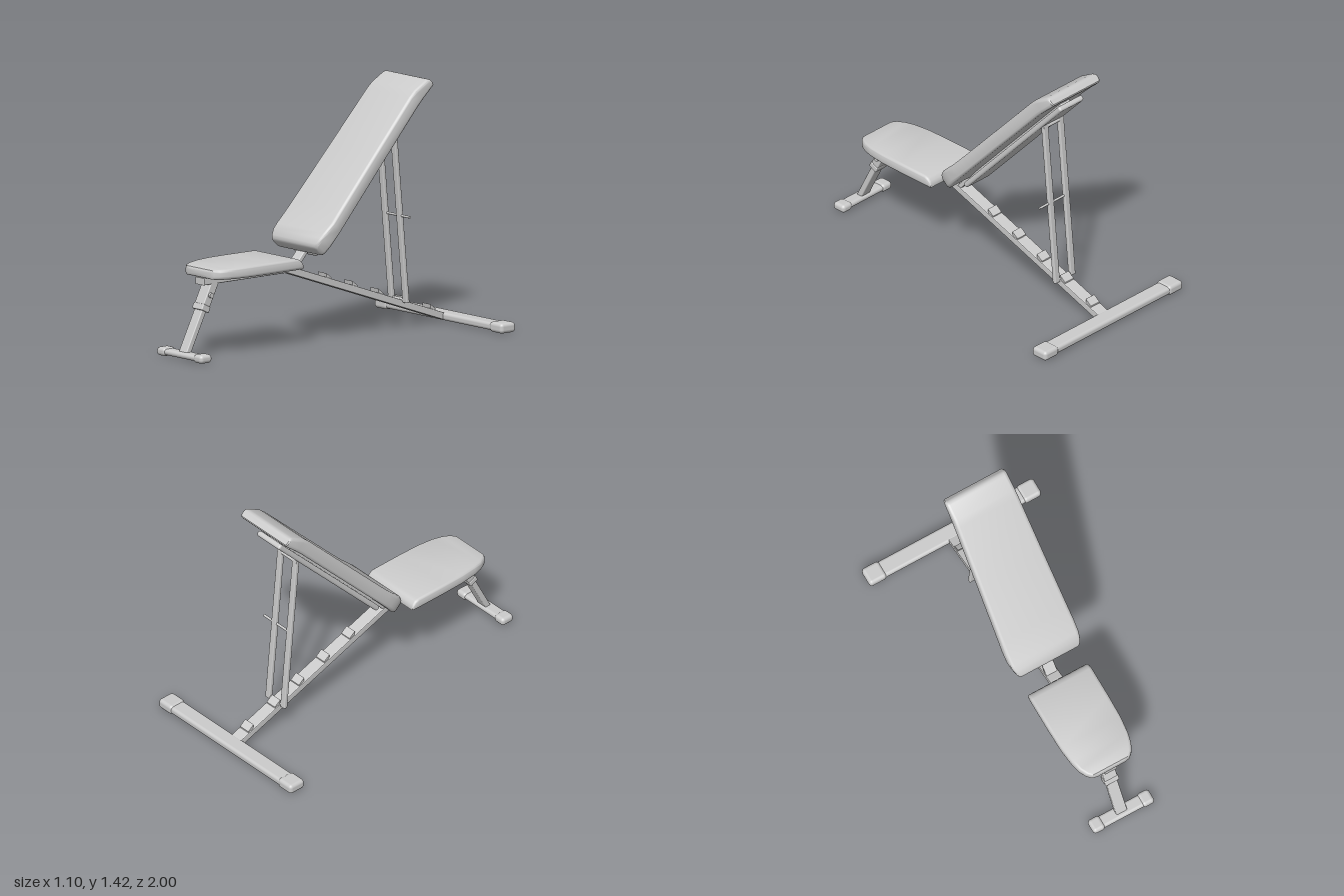
import * as THREE from 'three';
import { toCreasedNormals } from 'three/addons/utils/BufferGeometryUtils.js';
import { RoundedBoxGeometry } from 'three/addons/geometries/RoundedBoxGeometry.js';

const material = new THREE.MeshStandardMaterial({ color: 0xcccccc });

function add(parent, name, geometry, x = 0, y = 0, z = 0) {
  const mesh = new THREE.Mesh(geometry, material);
  mesh.name = name;
  mesh.position.set(x, y, z);
  parent.add(mesh);
  return mesh;
}

function box(parent, name, w, h, d, x, y, z, r = 0.008) {
  return add(parent, name, new RoundedBoxGeometry(w, h, d, 3, r), x, y, z);
}

// Bar of width w (x) and thickness t between two [y, z] points
function bar(parent, name, [y0, z0], [y1, z1], w, t, x = 0) {
  const length = Math.hypot(y1 - y0, z1 - z0);
  const mesh = box(parent, name, w, length, t, x, (y0 + y1) / 2, (z0 + z1) / 2, Math.min(0.006, t / 4));
  mesh.rotation.x = Math.atan2(z1 - z0, y1 - y0);
  return mesh;
}

// Extrude a side profile of [z, y] points across x
function sideProfile(parent, name, points, width, bevel) {
  const shape = new THREE.Shape(points.map(([z, y]) => new THREE.Vector2(z, y)));
  const g = new THREE.ExtrudeGeometry(shape, {
    depth: width - 2 * bevel, bevelEnabled: bevel > 0, bevelSize: bevel,
    bevelThickness: bevel, bevelOffset: -bevel, bevelSegments: 2,
  });
  g.translate(0, 0, -(width - 2 * bevel) / 2);
  g.rotateY(-Math.PI / 2);
  return add(parent, name, g);
}

// Loft of rounded rectangles along y; station = [y, halfWidth, zBack, zFront, cornerRadius]
function cushion(stations) {
  const positions = [], index = [], steps = 5, n = 4 * (steps + 1);
  for (const [y, w, back, front, radius] of stations) {
    const r = Math.min(radius, (front - back) / 2.05);
    [[1, 1], [-1, 1], [-1, -1], [1, -1]].forEach(([sx, sz], q) => {
      for (let i = 0; i <= steps; i++) {
        const a = (q + i / steps) * Math.PI / 2;
        positions.push(sx * (w - r) + r * Math.cos(a), y,
          (sz > 0 ? front - r : back + r) + r * Math.sin(a));
      }
    });
  }
  const last = stations.length - 1;
  for (let s = 0; s < last; s++) {
    for (let i = 0; i < n; i++) {
      const a = s * n + i, b = s * n + (i + 1) % n;
      index.push(a, a + n, b, b, a + n, b + n);
    }
  }
  for (const s of [0, last]) {
    const [y, , back, front] = stations[s], c = positions.length / 3;
    positions.push(0, y, (back + front) / 2);
    for (let i = 0; i < n; i++) {
      const a = s * n + i, b = s * n + (i + 1) % n;
      if (s === 0) index.push(c, a, b); else index.push(c, b, a);
    }
  }
  const g = new THREE.BufferGeometry();
  g.setAttribute('position', new THREE.Float32BufferAttribute(positions, 3));
  g.setIndex(index);
  return toCreasedNormals(g, 0.6);
}

// Floor crossbar with larger end caps
function foot(parent, name, half, capLength, z, depth, height, y) {
  const group = new THREE.Group();
  group.name = name;
  box(group, 'crossbar', 2 * half - capLength, height - 0.008, depth - 0.01, 0, y, z, 0.017);
  for (const s of [-1, 1]) {
    box(group, 'endCap', capLength, height + 0.006, depth, s * (half - capLength / 2), y, z, 0.02);
  }
  parent.add(group);
}

export function createModel() {
  const model = new THREE.Group();
  model.name = 'adjustableBench';

  // Bent main beam under the seat and down to the rear foot
  const beamY = z => 0.43 + (z - 0.23) * 0.348;
  sideProfile(model, 'mainBeam', [
    [0.845, 0.455], [0.23, 0.455], [-0.91, beamY(-0.91) + 0.022],
    [-0.91, beamY(-0.91) - 0.02], [0.24, 0.415], [0.845, 0.415],
  ], 0.08, 0.006);

  // Notches that catch the back strut
  for (const z of [-0.06, -0.25, -0.44, -0.62, -0.82]) {
    const y = beamY(z) + 0.015;
    sideProfile(model, 'notch', [
      [z + 0.01, y + 0.035], [z - 0.005, y + 0.025], [z - 0.03, y + 0.005],
      [z - 0.03, y - 0.015], [z + 0.004, y],
    ], 0.068, 0);
  }

  // Feet
  foot(model, 'rearFoot', 0.55, 0.11, -0.946, 0.108, 0.052, 0.034);
  foot(model, 'frontFoot', 0.195, 0.075, 0.957, 0.085, 0.042, 0.032);

  // Telescoping front leg
  bar(model, 'frontLeg', [0.035, 0.957], [0.42, 0.765], 0.068, 0.034);
  bar(model, 'legSleeve', [0.268, 0.841], [0.43, 0.76], 0.08, 0.052);
  bar(model, 'sleeveCollar', [0.268, 0.841], [0.3, 0.825], 0.088, 0.058);
  const knob = add(model, 'sleeveKnob', new THREE.CylinderGeometry(0.015, 0.015, 0.02, 20), 0.045, 0.355, 0.8);
  knob.rotation.z = Math.PI / 2;

  // Seat cushion, tapering and rounded towards the front
  const seat = add(model, 'seat', cushion([
    [-0.85, 0.095, 0.465, 0.498, 0.012],
    [-0.843, 0.122, 0.458, 0.508, 0.016],
    [-0.82, 0.146, 0.456, 0.513, 0.018],
    [-0.78, 0.166, 0.456, 0.515, 0.018],
    [-0.72, 0.181, 0.456, 0.518, 0.018],
    [-0.62, 0.192, 0.456, 0.52, 0.018],
    [-0.48, 0.195, 0.456, 0.52, 0.018],
    [-0.29, 0.195, 0.456, 0.519, 0.018],
    [-0.268, 0.194, 0.456, 0.511, 0.018],
    [-0.252, 0.192, 0.456, 0.496, 0.014],
    [-0.244, 0.188, 0.46, 0.48, 0.008],
  ]));
  seat.rotation.x = -Math.PI / 2;
  box(model, 'seatPlate', 0.24, 0.012, 0.46, 0, 0.455, 0.52, 0.004);

  // Reclined back: local y runs up the pad, local z points out of its front
  const back = new THREE.Group();
  back.name = 'backrest';
  back.position.set(0, 0.674, 0.075);
  back.rotation.x = -0.741;
  model.add(back);
  add(back, 'backCushion', cushion([
    [-0.139, 0.185, -0.075, -0.018, 0.02],
    [-0.133, 0.193, -0.086, -0.006, 0.02],
    [-0.118, 0.2, -0.088, 0.004, 0.02],
    [-0.08, 0.211, -0.086, 0.01, 0.02],
    [-0.04, 0.217, -0.084, 0.007, 0.02],
    [0.03, 0.219, -0.083, 0.001, 0.02],
    [0.12, 0.216, -0.083, 0, 0.02],
    [0.5, 0.206, -0.083, 0, 0.02],
    [0.9, 0.197, -0.084, 0, 0.02],
    [0.95, 0.196, -0.087, -0.004, 0.02],
    [1.04, 0.195, -0.095, -0.032, 0.02],
    [1.054, 0.193, -0.094, -0.04, 0.018],
    [1.06, 0.187, -0.088, -0.05, 0.012],
  ]));
  box(back, 'backSpine', 0.07, 1.2, 0.026, 0, 0.33, -0.091, 0.005);
  box(back, 'backPlate', 0.19, 1.1, 0.032, 0, 0.423, -0.115, 0.013);

  // Twin struts with cross rods and an off-side release pin
  for (const s of [-1, 1]) {
    bar(model, 'backStrut', [1.14, -0.518], [0.15, -0.61], 0.038, 0.024, s * 0.062);
  }
  const rod = (name, x0, x1, y, z, r) => {
    const mesh = add(model, name, new THREE.CylinderGeometry(r, r, x1 - x0, 16), (x0 + x1) / 2, y, z);
    mesh.rotation.z = Math.PI / 2;
  };
  rod('lowerCrossRod', -0.08, 0.08, 0.165, -0.608, 0.01);
  rod('upperCrossRod', -0.08, 0.08, 1.125, -0.52, 0.012);
  rod('releasePin', -0.07, 0.15, 0.65, -0.564, 0.007);

  return model;
}
